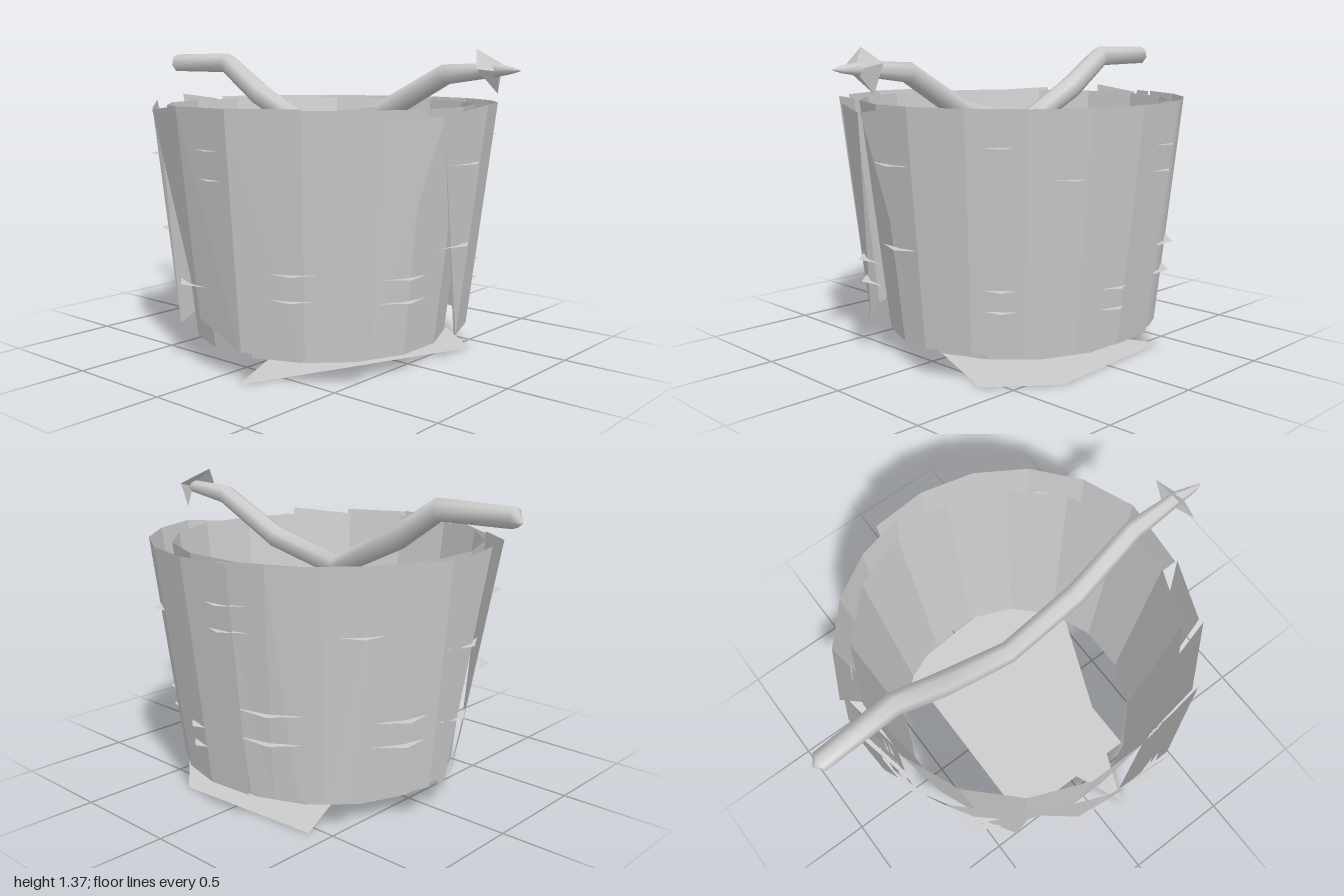
import * as THREE from 'three';

const wood = () => new THREE.MeshStandardMaterial({ color: 0xcccccc, flatShading: true, side: THREE.DoubleSide });

const polar = (deg, r, y) => {
  const a = THREE.MathUtils.degToRad(deg);
  return [r * Math.sin(a), y, r * Math.cos(a)];
};

function surface(name, positions, index) {
  const g = new THREE.BufferGeometry();
  g.setAttribute('position', new THREE.Float32BufferAttribute(positions, 3));
  g.setIndex(index);
  g.computeVertexNormals();
  const m = new THREE.Mesh(g, wood());
  m.name = name;
  return m;
}

// Curved sheet of bark: angles at the bottom and top edges, in degrees from the front
function barkPanel({ bottom, top, push = [0, 0], y0 = [0.13, 0.13], y1 = [1.14, 1.14] }) {
  const n = Math.max(1, Math.round((top[1] - top[0]) / 18));
  const pos = [], idx = [];
  for (let i = 0; i <= n; i++) {
    const t = i / n, mix = (p) => THREE.MathUtils.lerp(p[0], p[1], t);
    pos.push(...polar(mix(bottom), 0.67 + mix(push) * 0.5, mix(y0)));
    pos.push(...polar(mix(top), 0.79 + mix(push), mix(y1)));
    if (i < n) {
      const a = i * 2;
      idx.push(a, a + 2, a + 1, a + 2, a + 3, a + 1);
    }
  }
  return surface('barkPanel', pos, idx);
}

// Flat horizontal splinter standing out of the bark
function splinter(deg, half, y) {
  const r = 0.655 + (y - 0.13) * 0.119;
  return surface('barkSplinter', [
    ...polar(deg - half, r, y), ...polar(deg, r + 0.05, y), ...polar(deg + half, r, y), ...polar(deg, r + 0.01, y),
  ], [0, 1, 3, 1, 2, 3]);
}

// Bent branch: rings of varying radius along a list of [x, y, z, radius]
function branch(points, sides = 7) {
  const pos = [], idx = [];
  points.forEach(([x, y, z, r], i) => {
    const a = points[Math.max(0, i - 1)], b = points[Math.min(points.length - 1, i + 1)];
    const dir = new THREE.Vector3(b[0] - a[0], b[1] - a[1], b[2] - a[2]).normalize();
    const side = new THREE.Vector3(0, 0, 1);
    const up = new THREE.Vector3().crossVectors(side, dir).normalize();
    for (let k = 0; k < sides; k++) {
      const t = (k / sides) * Math.PI * 2, c = r * Math.cos(t), s = r * Math.sin(t);
      pos.push(x + up.x * c + side.x * s, y + up.y * c + side.y * s, z + up.z * c + side.z * s);
      if (i < points.length - 1) {
        const p = i * sides + k, q = i * sides + (k + 1) % sides;
        idx.push(p, q, p + sides, q, q + sides, p + sides);
      }
    }
  });
  const m = surface('branchHandle', pos, idx);
  m.material.flatShading = false;
  return m;
}

export function createModel() {
  const model = new THREE.Group();

  // Inner tub, open at both ends
  const tub = new THREE.Mesh(
    new THREE.CylinderGeometry(0.7, 0.58, 1.05, 16, 1, true, Math.PI / 16), wood());
  tub.name = 'innerTub';
  tub.position.set(-0.01, 0.605, 0);
  model.add(tub);

  // Floor board and the crooked slab beneath it
  const floor = new THREE.Mesh(new THREE.PlaneGeometry(0.65, 0.95).rotateX(-Math.PI / 2), wood());
  floor.name = 'floorBoard';
  floor.position.set(-0.01, 0.08, -0.01);
  model.add(floor);
  model.add(surface('baseSlab',
    [0.14, 0, 0.69, 0.575, 0, -0.38, 0.31, 0, -0.6, -0.41, 0, -0.55], [0, 1, 2, 0, 2, 3]));

  // Overlapping bark sheets around the tub, some of them torn to a point
  const bark = new THREE.Group();
  bark.name = 'barkShell';
  [
    { bottom: [102, 194], top: [103, 194], push: [0, 0.01] },
    { bottom: [102, 102], top: [80, 103], push: [-0.02, 0], y1: [1.1, 1.14] },
    { bottom: [194, 232], top: [188, 255], push: [-0.03, 0] },
    { bottom: [253, 264], top: [254, 262], push: [-0.02, 0] },
    { bottom: [268, 272], top: [264, 281], push: [0.01, 0.01], y1: [1.13, 1.16] },
    { bottom: [276, 322], top: [301, 327], push: [0, -0.02], y1: [1.14, 1.12] },
    { bottom: [349, 349], top: [326, 350], push: [-0.02, -0.01], y0: [0.23, 0.23], y1: [1.11, 1.14] },
    { bottom: [349, 371], top: [351, 373], push: [-0.01, 0.02], y0: [0.23, 0.13] },
    { bottom: [371, 395], top: [372, 395], push: [0, -0.01] },
    { bottom: [395, 417], top: [394, 416], push: [-0.03, -0.01], y1: [1.12, 1.15] },
    { bottom: [417, 418], top: [418, 440], push: [-0.02, -0.01], y1: [1.12, 1.1] },
  ].forEach((p) => bark.add(barkPanel(p)));
  model.add(bark);

  // Splinters: angle, half width in degrees, then heights
  [
    [6, 8, 0.97, 0.85], [31, 8, 0.48, 0.37], [-14, 10, 0.38], [70, 10, 0.45, 0.35], [95, 11, 0.9, 0.55],
    [131, 8, 0.99, 0.41, 0.32], [153, 8, 0.86], [172, 8, 0.39, 0.3], [190, 9, 0.97, 0.86],
    [204, 14, 0.52, 0.39], [234, 8, 0.86], [250, 12, 0.48, 0.37], [275, 10, 0.75, 0.42], [308, 9, 0.9, 0.55],
  ].forEach(([deg, half, ...heights]) => heights.forEach((y) => model.add(splinter(deg, half, y))));

  // Branch handle across the top
  model.add(branch([
    [-1, 1.29, 0.02, 0.005], [-0.97, 1.31, 0.02, 0.045], [-0.62, 1.31, 0, 0.05], [-0.4, 1.165, 0, 0.055],
    [-0.06, 1.0, 0, 0.05], [0.32, 1.09, -0.01, 0.05], [0.64, 1.265, -0.04, 0.045],
    [0.88, 1.285, -0.04, 0.03], [0.96, 1.285, -0.03, 0.015], [1, 1.285, -0.03, 0.003],
  ]));

  // Pointed four-sided knot near the end of the branch
  model.add(surface('branchKnot', [
    0.83, 1.37, 0.02, 0.87, 1.29, 0.08, 0.86, 1.19, -0.1, 0.85, 1.31, -0.15, 0.9, 1.28, -0.035,
  ], [0, 1, 4, 1, 2, 4, 2, 3, 4, 3, 0, 4]));

  return model;
}
